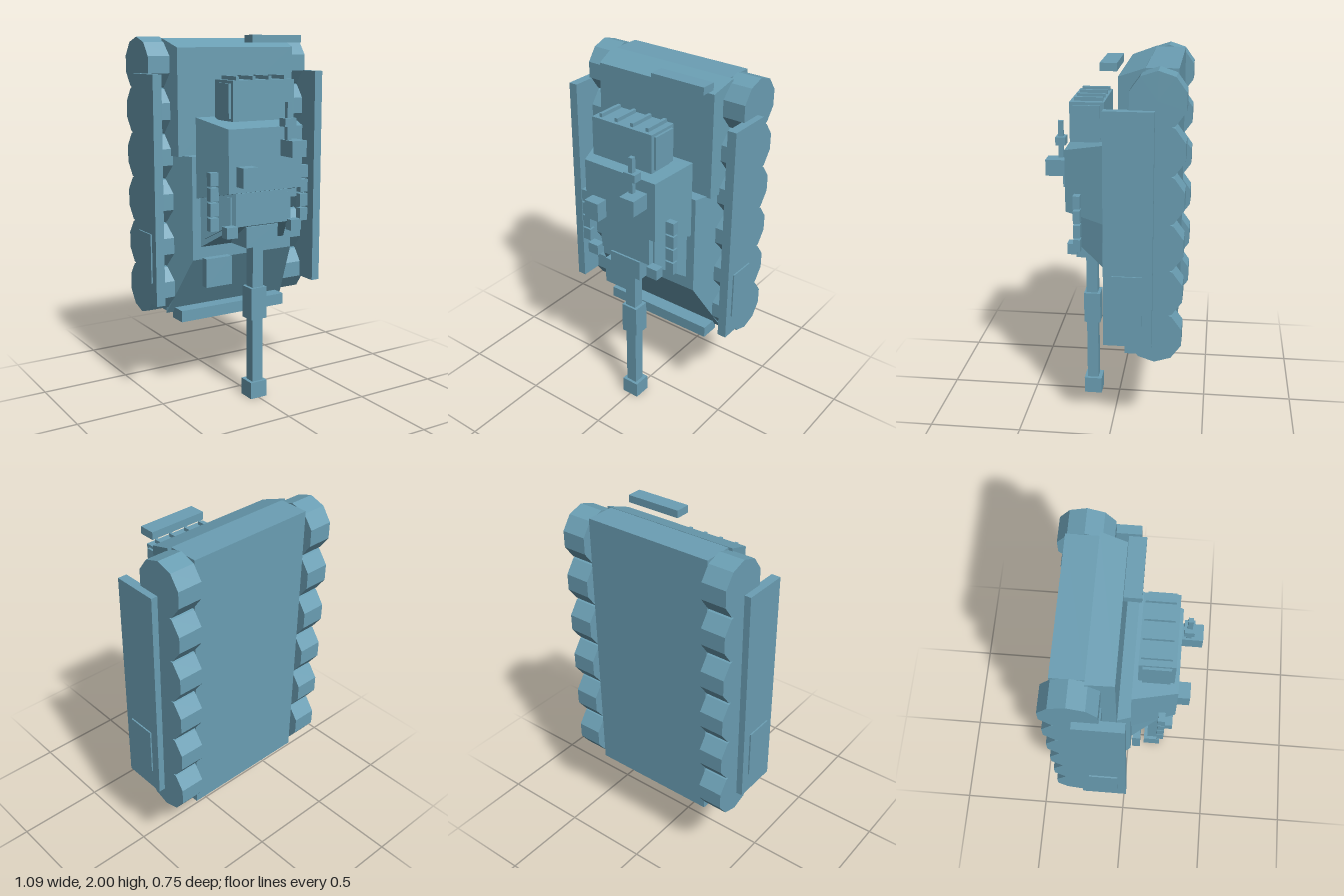
import * as THREE from 'three';

const steel = new THREE.MeshStandardMaterial({ color: 0x6b9fb4 });
steel.name = 'blue grey paint';
steel.flatShading = true;

export function createModel() {
  const group = new THREE.Group();

  const add = (name, geometry) => {
    const mesh = new THREE.Mesh(geometry, steel);
    mesh.name = name;
    group.add(mesh);
    return mesh;
  };

  // Box given by its limits on each axis
  const box = (name, x0, x1, y0, y1, z0, z1) => {
    const mesh = add(name, new THREE.BoxGeometry(x1 - x0, y1 - y0, z1 - z0));
    mesh.position.set((x0 + x1) / 2, (y0 + y1) / 2, (z0 + z1) / 2);
    return mesh;
  };

  // Solid between two rectangles [z, half width, y0, y1]
  const frustum = (name, low, high) => {
    const g = new THREE.BoxGeometry(2, 2, 2);
    const p = g.attributes.position;
    for (let i = 0; i < p.count; i++) {
      const [z, w, y0, y1] = p.getZ(i) > 0 ? high : low;
      p.setXYZ(i, p.getX(i) * w, p.getY(i) > 0 ? y1 : y0, z);
    }
    g.computeVertexNormals();
    return add(name, g);
  };

  // Hull: floor, rear deck and front deck with sloped glacis
  box('lowerHull', -0.363, 0.363, 0.46, 1.98, -0.33, -0.167);
  frustum('rearHull', [-0.167, 0.385, 1.36, 1.982], [-0.033, 0.365, 1.36, 1.935]);
  frustum('frontHull', [-0.167, 0.385, 0.46, 1.365], [0.035, 0.32, 0.8, 1.365]);
  box('noseBar', -0.34, 0.34, 0.425, 0.49, -0.175, -0.065);
  box('glacisBox', -0.265, -0.105, 0.65, 0.81, 0.04, 0.085);
  box('rearBar', 0.045, 0.362, 1.96, 2.0, -0.028, 0.057);

  // Running gear and skirts on both sides
  for (const s of [-1, 1]) {
    for (let i = 0; i < 6; i++) {
      const g = new THREE.CylinderGeometry(0.145, 0.145, 0.138, 10);
      g.rotateX(Math.PI / 2).rotateY(Math.PI / 2); // axis along x
      // ten sides, one corner pointing along y
      const p = g.attributes.position;
      const a = Math.atan2(p.getZ(0), p.getY(0));
      g.rotateX(-a);
      add('roadWheel', g).position.set(s * 0.432, 0.615 + i * 0.246, -0.238);
    }
    const side = (name, x0, x1, ...rest) =>
      s > 0 ? box(name, x0, x1, ...rest) : box(name, -x1, -x0, ...rest);
    side('sideSkirt', 0.487, 0.537, 0.57, 1.8, -0.225, 0.025);
    side('skirtPanel', 0.537, 0.545, 0.69, 0.96, -0.175, -0.02);

    // Launcher blocks beside the turret
    for (let i = 0; i < 4; i++) {
      const y = 0.99 + i * 0.08;
      side('launcherBlock', 0.26, 0.31, y, y + 0.07, 0.175, 0.212);
    }
    side('frontSight', 0.17, 0.237, 0.95, 1.01, 0.205, 0.257);
    side('bustleSidePanel', 0.19, 0.203, 1.575, 1.755, 0.08, 0.22);
  }

  // Turret body and tapered front
  frustum('turretBody', [0.035, 0.295, 1.14, 1.573], [0.264, 0.23, 1.19, 1.525]);
  frustum('turretFront', [0.035, 0.27, 0.87, 1.2], [0.225, 0.163, 1.0, 1.18]);
  frustum('cheekPanels', [0.065, 0.262, 0.92, 1.14], [0.205, 0.184, 1.01, 1.16]);

  // Rear stowage box with ribs
  box('bustleBox', -0.19, 0.19, 1.56, 1.77, 0.06, 0.24);
  for (const x of [-0.149, -0.05, 0.05, 0.146]) {
    box('bustleRib', x - 0.009, x + 0.009, 1.77, 1.79, 0.07, 0.22);
  }

  // Main gun
  box('mantlet', -0.1, 0.1, 0.88, 0.995, 0.075, 0.23);
  box('gunBarrel', -0.033, 0.033, 0.05, 0.95, 0.123, 0.187);
  box('gunSleeve', -0.05, 0.05, 0.46, 0.64, 0.107, 0.2);
  box('muzzle', -0.052, 0.052, 0, 0.095, 0.102, 0.203);

  // Roof fittings
  box('commanderHatch', 0.09, 0.181, 1.37, 1.457, 0.26, 0.375);
  box('roofGunBarrel', 0.1, 0.125, 1.45, 1.655, 0.287, 0.313);
  box('roofGunBody', 0.077, 0.149, 1.528, 1.572, 0.272, 0.325);
  box('gunnerSight', -0.184, -0.094, 1.225, 1.33, 0.26, 0.332);

  return group;
}
